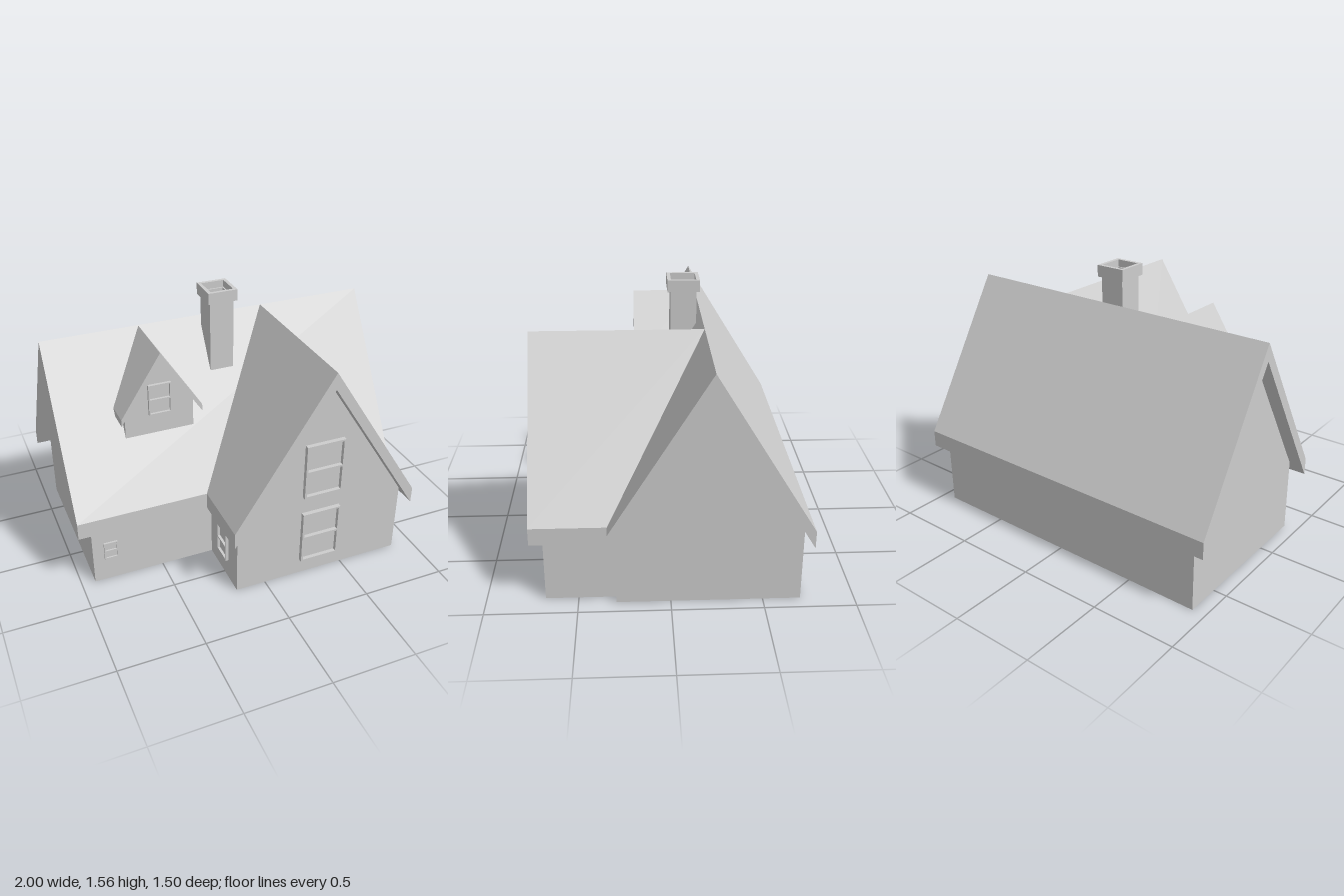
import * as THREE from 'three';

const plaster = new THREE.MeshStandardMaterial({ color: 0xcccccc });
plaster.name = 'light grey';

function mesh(name, geometry) {
  const m = new THREE.Mesh(geometry, plaster);
  m.name = name;
  return m;
}

// Extrudes a closed outline (with optional holes) from z0 to z1
function prism(points, z0, z1, holes = []) {
  const toVectors = (list) => list.map(([x, y]) => new THREE.Vector2(x, y));
  const shape = new THREE.Shape(toVectors(points));
  for (const hole of holes) shape.holes.push(new THREE.Path(toVectors(hole)));
  return new THREE.ExtrudeGeometry(shape, { depth: z1 - z0, bevelEnabled: false }).translate(0, 0, z0);
}

const rect = (x0, y0, x1, y1) => [[x0, y0], [x1, y0], [x1, y1], [x0, y1]];

// Pitched roof slab with vertically cut eaves; t is its vertical thickness
function roof(cx, half, eave, ridge, t, z0, z1) {
  return prism([
    [cx - half, eave], [cx - half, eave - t], [cx, ridge - t],
    [cx + half, eave - t], [cx + half, eave], [cx, ridge],
  ], z0, z1);
}

// Gabled wall block
function gable(cx, half, base, shoulder, peak, z0, z1) {
  return prism([
    [cx - half, base], [cx + half, base], [cx + half, shoulder], [cx, peak], [cx - half, shoulder],
  ], z0, z1);
}

// Two-pane window facing +z, back on z = 0
function makeWindow(name, w, h, bar, depth) {
  const g = new THREE.Group();
  g.name = name;
  const x = w / 2, y = h / 2;
  const frame = prism(rect(-x, -y, x, y), 0, depth, [
    rect(-x + bar, -y + bar, x - bar, -bar / 2),
    rect(-x + bar, bar / 2, x - bar, y - bar),
  ]);
  const pane = new THREE.BoxGeometry(w - bar, h - bar, 0.006);
  g.add(mesh('windowFrame', frame), mesh('windowPanes', pane));
  return g;
}

// Square tube standing upright, centred on x = z = 0
function squareTube(w, d, wall, y0, y1) {
  const x = w / 2, z = d / 2;
  return prism(rect(-x, -z, x, z), y0, y1, [rect(-x + wall, -z + wall, x - wall, z - wall)])
    .rotateX(-Math.PI / 2);
}

export function createModel() {
  const house = new THREE.Group();
  house.name = 'house';

  // Main block, its ridge running along x
  house.add(
    mesh('mainWalls', gable(-0.206, 0.5, 0, 0.437, 1.255, -0.92, 0.92).rotateY(-Math.PI / 2)),
    mesh('mainRoof', roof(-0.207, 0.542, 0.47, 1.355, 0.1, -1, 1).rotateY(-Math.PI / 2)),
  );

  // Front wing, its roof running back into the main roof
  house.add(
    mesh('wingWalls', gable(0.345, 0.525, 0, 0.44, 1.255, 0.1, 0.68)),
    mesh('wingRoof', roof(0.345, 0.57, 0.47, 1.355, 0.1, -0.205, 0.748)),
  );

  // Dormer
  house.add(
    mesh('dormerWalls', gable(-0.425, 0.205, 0.82, 0.994, 1.31, -0.1, 0.118)),
    mesh('dormerRoof', roof(-0.425, 0.24, 0.982, 1.352, 0.042, -0.203, 0.175)),
  );

  // Hollow chimney with a wider cap
  const chimney = new THREE.Group();
  chimney.name = 'chimney';
  chimney.add(
    mesh('chimneyShaft', squareTube(0.145, 0.147, 0.012, 1.0, 1.52)),
    mesh('chimneyCap', squareTube(0.177, 0.182, 0.02, 1.495, 1.562)),
  );
  chimney.position.set(0.023, 0, -0.106);
  house.add(chimney);

  // Windows: name, width, height, bar, depth, position, turn about y
  const windows = [
    ['lowerWingWindow', 0.24, 0.34, 0.012, 0.026, [0.34, 0.27, 0.68], 0],
    ['upperWingWindow', 0.24, 0.345, 0.012, 0.026, [0.34, 0.727, 0.68], 0],
    ['dormerWindow', 0.135, 0.19, 0.008, 0.018, [-0.422, 1.045, 0.118], 0],
    ['smallFrontWindow', 0.082, 0.112, 0.007, 0.012, [-0.812, 0.21, 0.294], 0],
    ['wingSideWindow', 0.13, 0.19, 0.009, 0.018, [-0.18, 0.22, 0.49], -Math.PI / 2],
  ];
  for (const [name, w, h, bar, depth, position, turn] of windows) {
    const win = makeWindow(name, w, h, bar, depth);
    win.position.set(...position);
    win.rotation.y = turn;
    house.add(win);
  }

  return house;
}
